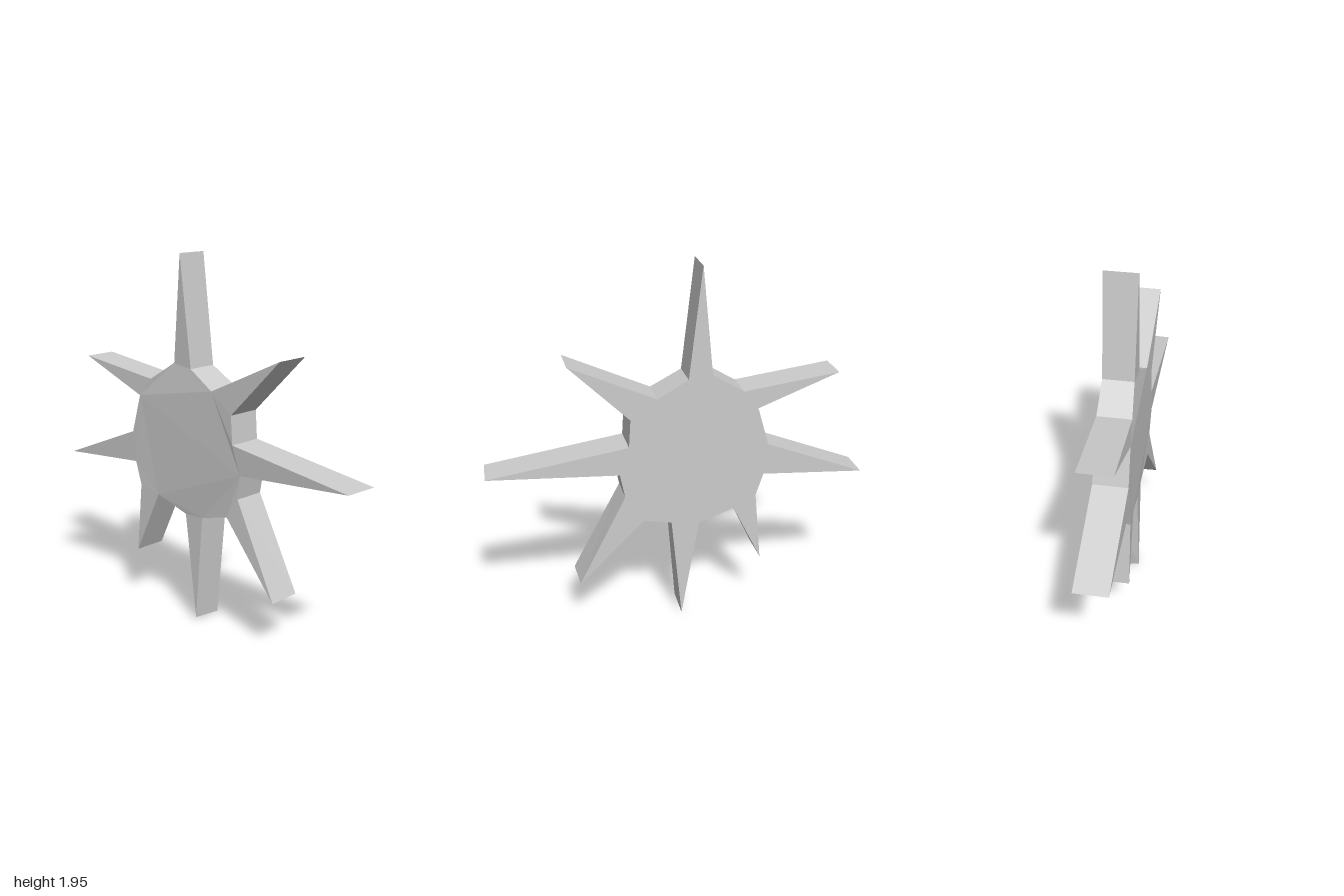
import * as THREE from 'three';

// Eight spikes, counterclockwise: [valley before, tip, valley after].
// Each corner is x, y, then optional front z, back x shift, back y shift.
const SPIKES = [
  [[0.32, 0.88], [0.99, 0.93, 0.09, 0.01], [0.27, 1.03, 0.09]],
  [[0.26, 1.18, 0.09], [0.57, 1.49, 0.09], [0.12, 1.28]],
  [[-0.04, 1.37, 0.07], [-0.11, 1.95, 0.075], [-0.165, 1.385, 0.065]],
  [[-0.33, 1.28, 0.08], [-0.84, 1.34, 0.08], [-0.41, 1.18]],
  [[-0.47, 0.97], [-1, 0.755, 0.08], [-0.45, 0.805, 0.085, 0, -0.005]],
  [[-0.41, 0.68], [-0.445, 0.295, 0.085], [-0.28, 0.65, 0.08, -0.01, -0.035]],
  [[-0.08, 0.585, 0.07, -0.02, -0.035], [-0.005, 0.015, 0.07, 0, -0.015], [0.04, 0.59, 0.07, 0.01, -0.02]],
  [[0.225, 0.64, 0.08, -0.025, -0.04], [0.55, 0.265, 0.09, -0.005, 0], [0.295, 0.75, 0.075]],
];
const BACK_Z = -0.095;

const frontOf = ([x, y, z = 0.085]) => new THREE.Vector3(x, y, z);
const backOf = ([x, y, , dx = 0, dy = 0]) => new THREE.Vector3(x + dx, y + dy, BACK_Z);

function meshFrom(name, points, material) {
  const geometry = new THREE.BufferGeometry().setFromPoints(points);
  geometry.computeVertexNormals();
  const mesh = new THREE.Mesh(geometry, material);
  mesh.name = name;
  return mesh;
}

// Side wall between two neighbouring outline corners
function wall(a, b) {
  const [af, bf, ab, bb] = [frontOf(a), frontOf(b), backOf(a), backOf(b)];
  return [ab, bb, bf, ab, bf, af];
}

// Front and back faces over a closed loop of corners
function caps(corners) {
  const points = [];
  const front = corners.map(frontOf);
  const back = corners.map(backOf);
  for (const [i, j, k] of THREE.ShapeUtils.triangulateShape(front.map(p => new THREE.Vector2(p.x, p.y)), [])) {
    points.push(front[i], front[j], front[k]);
  }
  for (const [i, j, k] of THREE.ShapeUtils.triangulateShape(back.map(p => new THREE.Vector2(p.x, p.y)), [])) {
    points.push(back[k], back[j], back[i]);
  }
  return points;
}

export function createModel() {
  const star = new THREE.Group();
  star.name = 'spikedStar';
  const material = new THREE.MeshStandardMaterial({ color: 0xcccccc, flatShading: true });

  // Hub: polygon through all valleys, with walls between the spikes
  const hub = caps(SPIKES.flatMap(([before, , after]) => [before, after]));
  SPIKES.forEach(([, , after], i) => {
    hub.push(...wall(after, SPIKES[(i + 1) % SPIKES.length][0]));
  });
  star.add(meshFrom('hub', hub, material));

  // Spikes: open-based wedges joined to the hub
  SPIKES.forEach(([before, tip, after], i) => {
    const points = [...caps([before, tip, after]), ...wall(before, tip), ...wall(tip, after)];
    star.add(meshFrom(`spike${i + 1}`, points, material));
  });
  return star;
}
